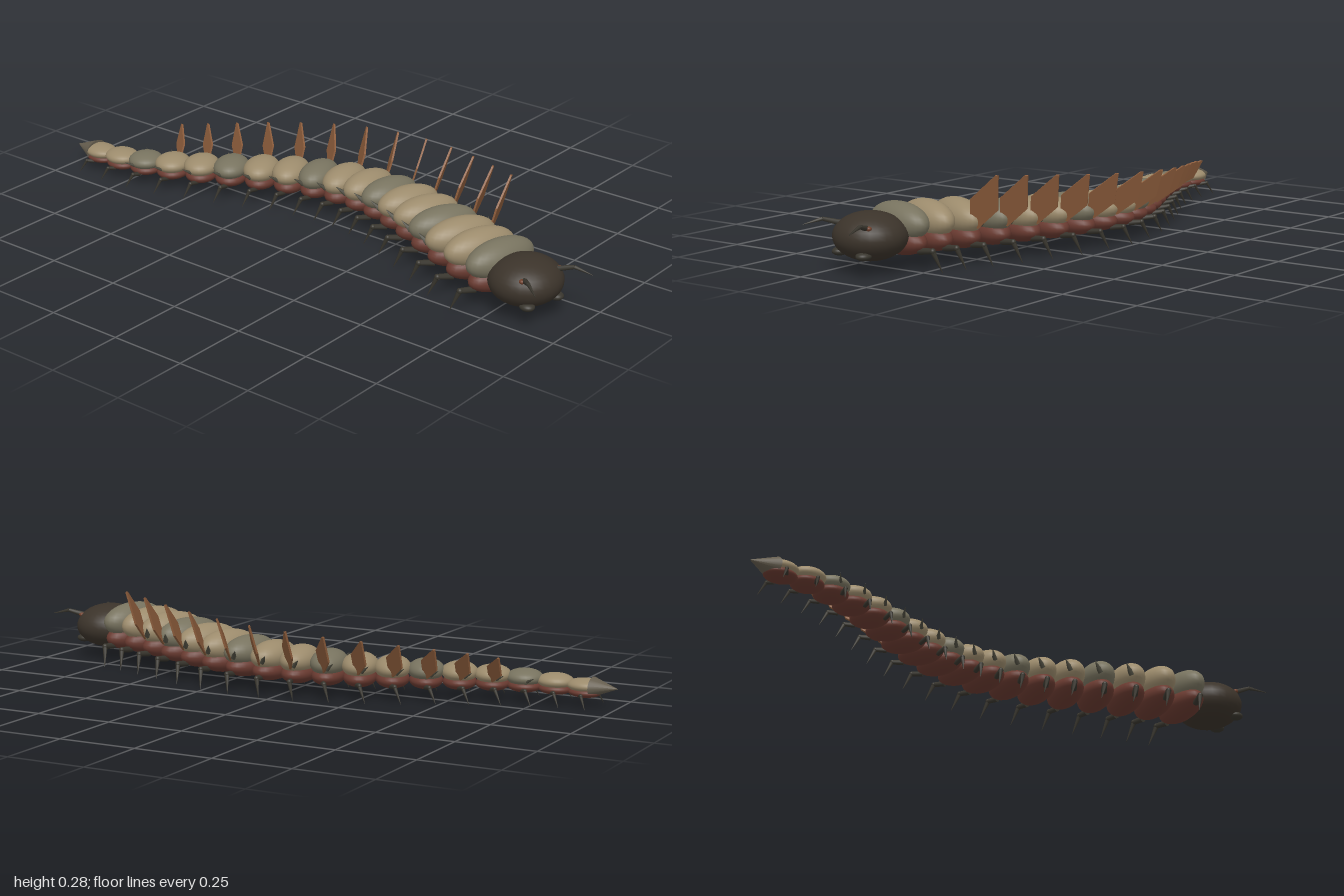
import * as THREE from 'three';

const mat = (name, color, extra = {}) => {
  const m = new THREE.MeshStandardMaterial({ color, ...extra });
  m.name = name;
  return m;
};
const V = (x, y, z) => new THREE.Vector3(x, y, z);

export function createModel() {
  const root = new THREE.Group();
  root.name = 'centipede';
  const tan = mat('tan shell', 0x9c8b6c);
  const grey = mat('grey shell', 0x78735f);
  const red = mat('dark red belly', 0x693a30);
  const dark = mat('dark head', 0x3b332a);
  const limb = mat('leg charcoal', 0x38352d);
  const spineMat = mat('spine olive', 0x4b493d);
  const finMat = mat('fin brown', 0x8c5c3b);
  const tailMat = mat('tail taupe', 0x655d4e);
  const eyeMat = mat('rust eye', 0x70402c);

  const add = (name, geo, material, parent) => {
    const m = new THREE.Mesh(geo, material);
    m.name = name;
    parent.add(m);
    return m;
  };
  const ball = new THREE.SphereGeometry(1, 28, 18);
  const ellipsoid = (name, material, parent, pos, radii) => {
    const m = add(name, ball, material, parent);
    m.position.copy(pos);
    m.scale.copy(radii);
    return m;
  };
  // Tapered rod from a to b
  const rod = (name, a, b, ra, rb, material, parent, sides = 7) => {
    const d = b.clone().sub(a);
    const m = add(name, new THREE.CylinderGeometry(rb, ra, d.length(), sides), material, parent);
    m.position.copy(a).addScaledVector(d, 0.5);
    m.quaternion.setFromUnitVectors(V(0, 1, 0), d.normalize());
    return m;
  };

  // Body centre line seen from above
  const K = 3.611;
  const pathX = z => -0.0125 + 0.122 * Math.cos(K * (z - 0.01));
  const yawAt = z => Math.atan(-0.122 * K * Math.sin(K * (z - 0.01)));

  // Leaf-shaped fin outline: x across the blade, y from root to tip
  const leaf = new THREE.Shape();
  [[-0.28, 0], [0.28, 0], [1, 0.44], [0.1, 1], [-0.1, 0.98], [-1, 0.42]]
    .forEach(([x, y], i) => (i ? leaf.lineTo(x, y) : leaf.moveTo(x, y)));
  const finGeo = new THREE.ExtrudeGeometry(leaf, { depth: 1, bevelEnabled: false });
  finGeo.translate(0, 0, -0.5);

  const COUNT = 18;
  for (let i = 0; i < COUNT; i++) {
    const z = 0.718 - 0.0948 * i;
    const w = 0.125 - 0.078 * Math.pow(i / (COUNT - 1), 1.25);
    const s = w / 0.125;
    const cy = 0.018 + 0.12 * s;
    const seg = new THREE.Group();
    seg.name = 'segment' + (i + 1);
    seg.position.set(pathX(z), 0, z);
    seg.rotation.y = yawAt(z);
    root.add(seg);

    ellipsoid('backPlate', i % 3 === 0 ? grey : tan, seg, V(0, cy, 0), V(w, 0.058 * s, 0.057));
    ellipsoid('belly', red, seg, V(0, 0.018 + 0.065 * s, 0), V(0.92 * w, 0.045 * s, 0.053));

    for (const side of [-1, 1]) {
      // Jointed leg swept backwards
      const hip = V(side * 0.75 * w, 0.02 + 0.04 * s, 0);
      const knee = V(side * (w + 0.004 + 0.014 * s), 0.025 + 0.04 * s, -0.012);
      const foot = V(side * (w + 0.015 + 0.025 * s), 0, -0.032);
      const r = 0.004 + 0.007 * s;
      rod('upperLeg', hip, knee, r, r * 0.8, limb, seg);
      ellipsoid('knee', limb, seg, knee, V(r, r, r).multiplyScalar(0.85));
      rod('lowerLeg', knee, foot, r * 0.8, 0.0006, limb, seg);
      // Small spine at the plate edge
      if (i > 1 && i < 16) {
        const base = V(side * 0.88 * w, cy - 0.012 * s, -0.015);
        rod('sideSpine', base, base.clone().add(V(side * 0.02, 0.03 * s, -0.024)),
          0.012 * s, 0.0006, spineMat, seg, 5);
      }
    }

    // Tall swept fin along one flank
    if (i >= 2 && i <= 14) {
      const half = 0.046 * (0.4 + 0.6 * s);
      const sweep = 0.28, turn = 0.84;
      const axis = V(0.095 * Math.cos(sweep), 0.172 * s, -0.095 * Math.sin(sweep));
      const across = V(0.92 * Math.cos(turn), -0.38, -0.92 * Math.sin(turn)).multiplyScalar(half);
      const thick = across.clone().cross(axis).normalize().multiplyScalar(0.006);
      const basis = new THREE.Matrix4().makeBasis(across, axis, thick)
        .setPosition(0.86 * w, cy - 0.02 * s, 0);
      const g = finGeo.clone().applyMatrix4(basis);
      g.computeVertexNormals();
      add('fin', g, finMat, seg);
    }
  }

  // Pointed tail
  const tail = add('tail', new THREE.ConeGeometry(0.045, 0.082, 20), tailMat, root);
  tail.rotation.x = -Math.PI / 2;
  tail.scale.z = 0.7;
  tail.position.set(-0.134, 0.06, -0.959);

  // Head with eyes, jaws and feelers
  const head = new THREE.Group();
  head.name = 'head';
  head.position.set(-0.135, 0.107, 0.825);
  head.rotation.y = -0.22;
  root.add(head);
  ellipsoid('skull', dark, head, V(0, 0, 0), V(0.115, 0.073, 0.11));
  for (const side of [-1, 1]) {
    ellipsoid('eye', eyeMat, head, V(side * 0.075, 0.037, 0.061), V(0.009, 0.007, 0.009));
    ellipsoid('jaw', limb, head, V(side * 0.058, -0.045, 0.068), V(0.022, 0.013, 0.025));
    const root0 = V(side * 0.066, 0.037, 0.062);
    const mid = V(side * 0.092, 0.05, 0.105);
    const tip = V(side * 0.114, 0.036, 0.158);
    rod('feelerBase', root0, mid, 0.009, 0.006, limb, head);
    rod('feelerTip', mid, tip, 0.006, 0.0008, limb, head);
  }
  return root;
}
